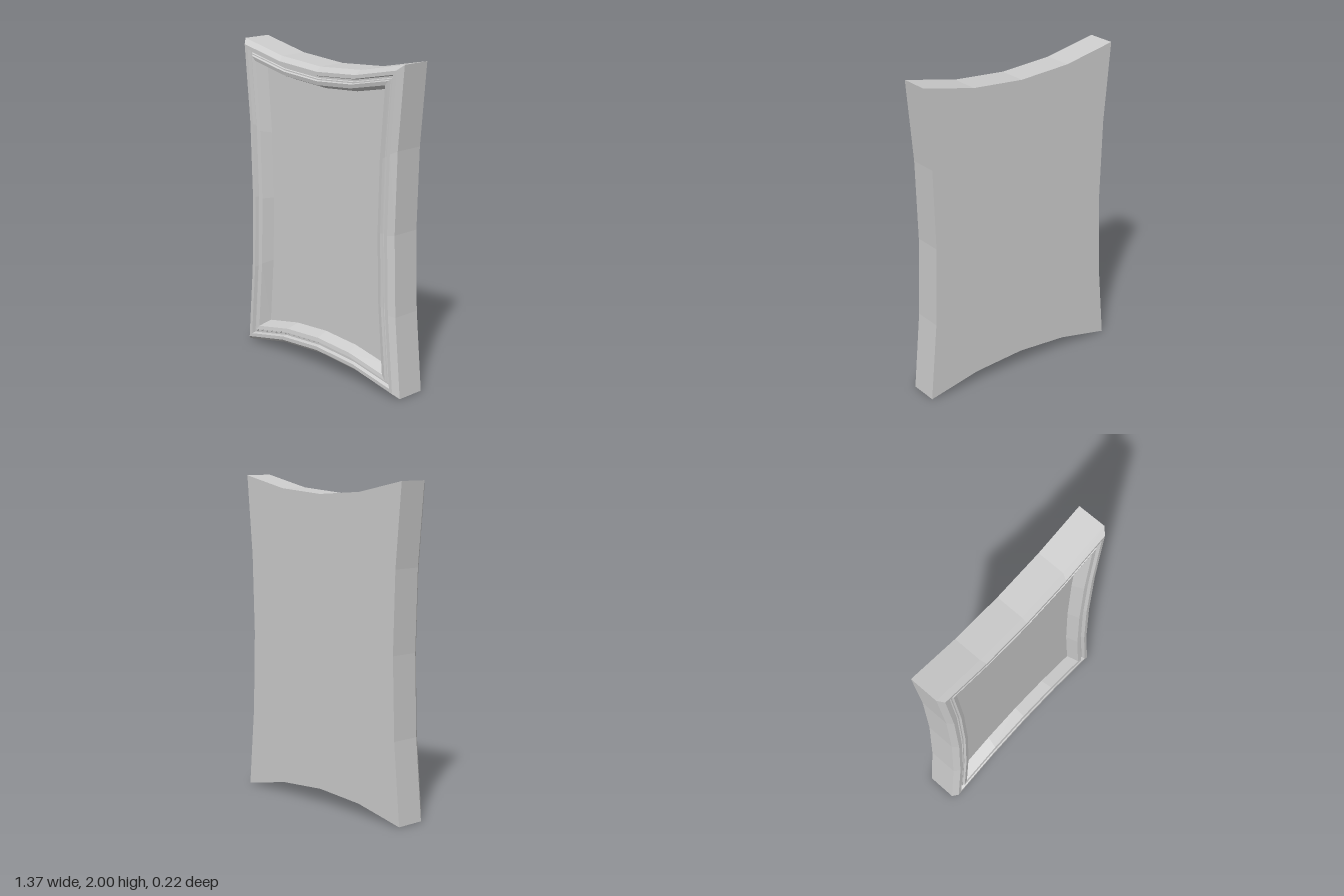
import * as THREE from 'three';

const material = new THREE.MeshStandardMaterial({ color: 0xcccccc, flatShading: true });
const SEGMENTS = 4; // straight segments per bowed side

// Counter-clockwise bowed rectangle; inset 0 = outer edge, 1 = edge of the panel
function outline(inset) {
  const mix = (a, b) => a + (b - a) * inset;
  const w = mix(0.685, 0.53), h = mix(1, 0.84);
  const bowX = mix(0.06, 0.045), bowY = mix(0.095, 0.07);
  const points = [];
  for (let side = 0; side < 4; side++) {
    for (let i = 0; i < SEGMENTS; i++) {
      const t = -1 + (2 * i) / SEGMENTS;
      const sag = 1 - t * t;
      const sign = side < 2 ? 1 : -1;
      points.push(side % 2 === 0
        ? new THREE.Vector2(sign * t * w, -sign * (h - bowY * sag))
        : new THREE.Vector2(sign * (w - bowX * sag), sign * t * h));
    }
  }
  return points;
}

// Moulding cross-section: [inset, z] from the back edge round to the panel
const profile = [
  [0, -0.11], [0, 0.073], [0.2, 0.107], [0.37, 0.107], [0.42, 0.085],
  [0.5, 0.085], [0.53, 0.092], [0.58, 0.092], [0.62, 0.105], [0.8, 0.1], [1, 0.027],
];

// Skin the cross-section round the outline
function frameGeometry() {
  const loops = profile.map(([inset, z]) =>
    outline(inset).map((p) => [p.x, p.y + 1, z]));
  const positions = [];
  for (let k = 0; k < loops.length - 1; k++) {
    const n = loops[k].length;
    for (let i = 0; i < n; i++) {
      const j = (i + 1) % n;
      const a = loops[k][i], b = loops[k][j], c = loops[k + 1][j], d = loops[k + 1][i];
      positions.push(...a, ...b, ...c, ...a, ...c, ...d);
    }
  }
  const geometry = new THREE.BufferGeometry();
  geometry.setAttribute('position', new THREE.Float32BufferAttribute(positions, 3));
  geometry.computeVertexNormals();
  return geometry;
}

function addMesh(group, name, geometry) {
  const mesh = new THREE.Mesh(geometry, material);
  mesh.name = name;
  group.add(mesh);
  return mesh;
}

export function createModel() {
  const group = new THREE.Group();
  group.name = 'bowedFrame';

  // Stepped moulding with outer walls
  addMesh(group, 'frameMoulding', frameGeometry());

  // Recessed front panel
  const panel = new THREE.ShapeGeometry(new THREE.Shape(outline(1)));
  addMesh(group, 'panel', panel).position.set(0, 1, 0.027);

  // Flat back, turned to face -z (the outline is symmetric)
  const back = new THREE.ShapeGeometry(new THREE.Shape(outline(0)));
  back.rotateY(Math.PI);
  addMesh(group, 'backPlate', back).position.set(0, 1, -0.11);

  return group;
}
